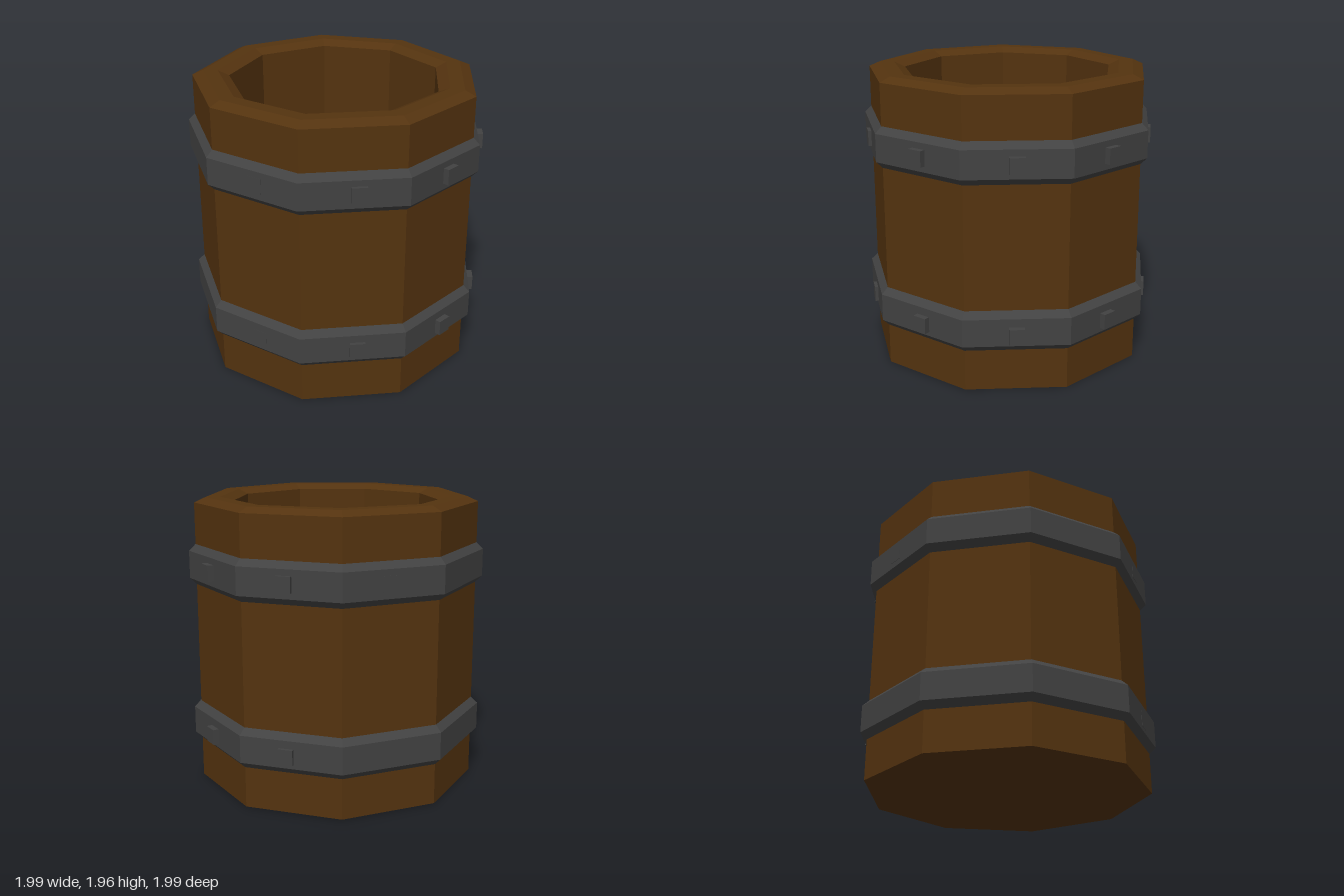
import * as THREE from 'three';

const SIDES = 9;
const START = THREE.MathUtils.degToRad(74); // turn of the nine-sided plan
const CENTRE_X = 0.007, CENTRE_Z = -0.01;

// Nine-sided turned part from [radius, height] points
function turned(name, points, material) {
  const profile = points.map(([r, y]) => new THREE.Vector2(r, y));
  const mesh = new THREE.Mesh(new THREE.LatheGeometry(profile, SIDES, START, Math.PI * 2), material);
  mesh.name = name;
  return mesh;
}

export function createModel() {
  const wood = new THREE.MeshStandardMaterial({ color: 0x54330f, flatShading: true });
  wood.name = 'dark brown wood';
  const iron = new THREE.MeshStandardMaterial({ color: 0x424242, flatShading: true });
  iron.name = 'dark grey iron';

  const barrel = new THREE.Group();
  barrel.name = 'openBarrel';
  barrel.position.set(CENTRE_X, 0, CENTRE_Z);

  // Staves, bevelled rim, hollow inside and floor in one profile
  barrel.add(turned('woodenBody', [
    [0, 0], [0.964, 0], [0.964, 1.93], [0.89, 1.963],
    [0.79, 1.963], [0.715, 1.93], [0.715, 0.2], [0, 0.2],
  ], wood));

  const boltGeometry = new THREE.BoxGeometry(0.1, 0.104, 0.04);
  const bands = [
    { name: 'lower', y: 0.414, boltY: 0.402, bolts: [236, 276, 316, 356, 36, 76] },
    { name: 'upper', y: 1.515, boltY: 1.515, bolts: [196, 236, 276, 316, 356, 36, 76] },
  ];
  for (const { name, y, boltY, bolts } of bands) {
    // Hoop with bevelled edges
    barrel.add(turned(name + 'Band', [
      [0.955, y - 0.137], [0.964, y - 0.137], [1.009, y - 0.093],
      [1.009, y + 0.093], [0.964, y + 0.137], [0.955, y + 0.137],
    ], iron));

    // Square bolts on a ring set slightly off the barrel's axis
    for (const degrees of bolts) {
      const a = THREE.MathUtils.degToRad(degrees);
      const bolt = new THREE.Mesh(boltGeometry, iron);
      bolt.name = name + 'Bolt';
      bolt.position.set(0.0216 + 0.945 * Math.cos(a), boltY, -0.0208 + 0.945 * Math.sin(a));
      bolt.rotation.y = Math.PI / 2 - a;
      barrel.add(bolt);
    }
  }

  const model = new THREE.Group();
  model.name = 'barrelModel';
  model.add(barrel);
  return model;
}
